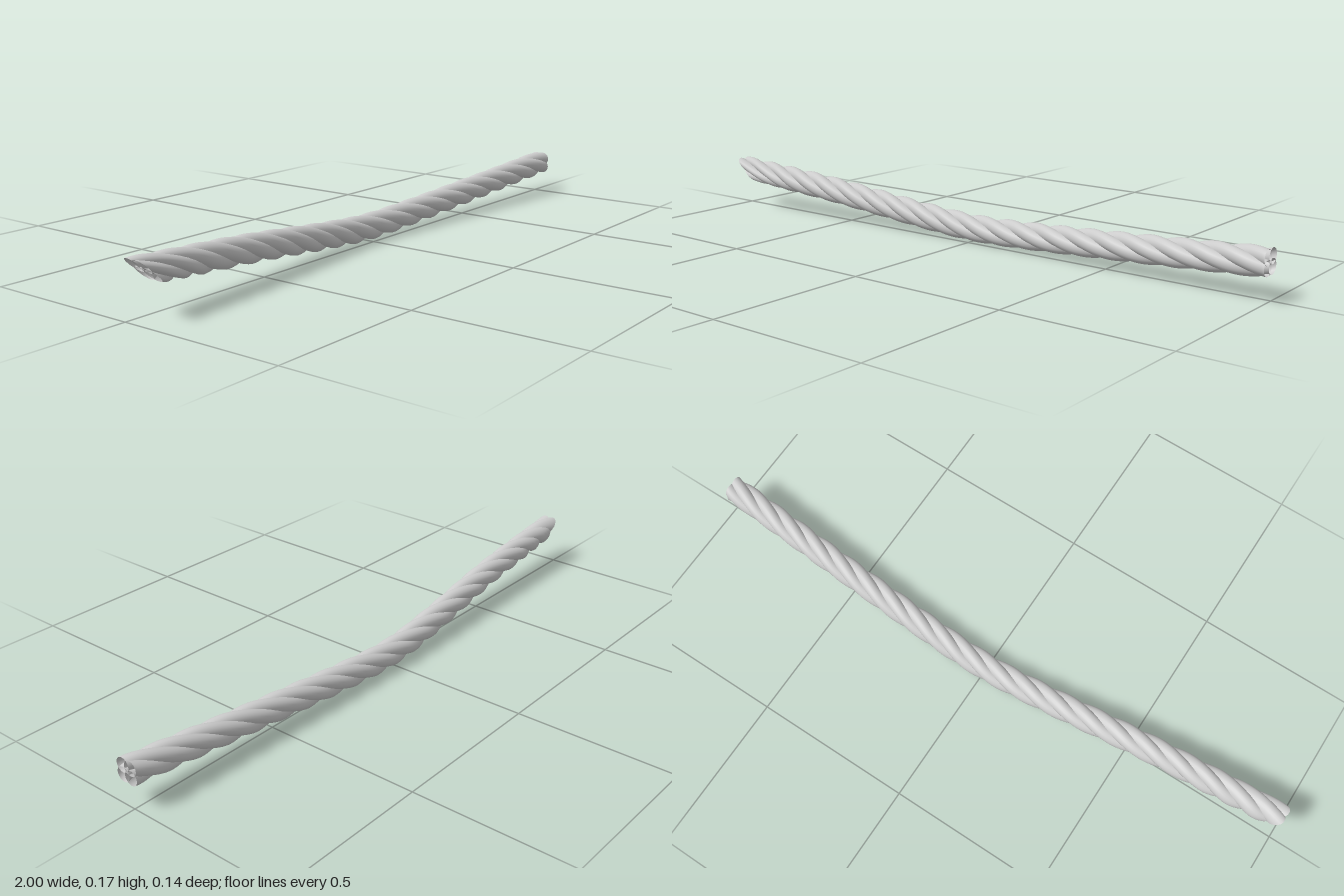
import * as THREE from 'three';
import { mergeVertices } from 'three/addons/utils/BufferGeometryUtils.js';

const STRANDS = 4;
const OFFSET = 0.02;    // strand centre from rope centre
const RADIUS = 0.0225;  // strand thickness
const PITCH = 0.4;      // length of one full twist

// sagging centre line of the rope, lowest in the middle
const spine = new THREE.SplineCurve([
  [-1, 0.127], [-0.6, 0.099], [-0.2, 0.056], [0, 0.042],
  [0.2, 0.048], [0.6, 0.075], [1, 0.106],
].map(([x, y]) => new THREE.Vector2(x, y)));

const samples = spine.getPoints(600);
function centreAt(x) {
  let i = 1;
  while (i < samples.length - 1 && samples[i].x < x) i++;
  const a = samples[i - 1], b = samples[i];
  const y = THREE.MathUtils.lerp(a.y, b.y, (x - a.x) / (b.x - a.x));
  return { y, z: -0.028 + (y - 0.042) * 0.68 }; // the sag also leans backwards
}

// one helical strand: an open cylinder along x, bent around the centre line
function strandGeometry(phase) {
  let g = new THREE.CylinderGeometry(RADIUS, RADIUS, 2, 20, 240, true);
  g.rotateZ(-Math.PI / 2);
  g.deleteAttribute('uv');
  g.deleteAttribute('normal');
  g = mergeVertices(g, 1e-5);
  const p = g.attributes.position;
  for (let i = 0; i < p.count; i++) {
    const x = p.getX(i);
    const c = centreAt(x);
    const a = phase - (2 * Math.PI * (x - 1)) / PITCH;
    const y = p.getY(i) + c.y + OFFSET * Math.sin(a);
    const z = p.getZ(i) + c.z + OFFSET * Math.cos(a);
    // the left end is cut at a slant, longest at the top
    const fade = THREE.MathUtils.clamp((-0.75 - x) / 0.25, 0, 1);
    const cut = fade * Math.max(0, c.y + 0.036 - y) * 1.1;
    p.setXYZ(i, x + cut, y, z);
  }
  g.computeVertexNormals();
  return g;
}

export function createModel() {
  const rope = new THREE.Group();
  rope.name = 'rope';
  const material = new THREE.MeshStandardMaterial({ color: 0xcccccc, side: THREE.DoubleSide });
  for (let k = 0; k < STRANDS; k++) {
    const strand = new THREE.Mesh(strandGeometry(Math.PI / 4 + (k * 2 * Math.PI) / STRANDS), material);
    strand.name = `strand${k + 1}`;
    rope.add(strand);
  }
  return rope;
}
